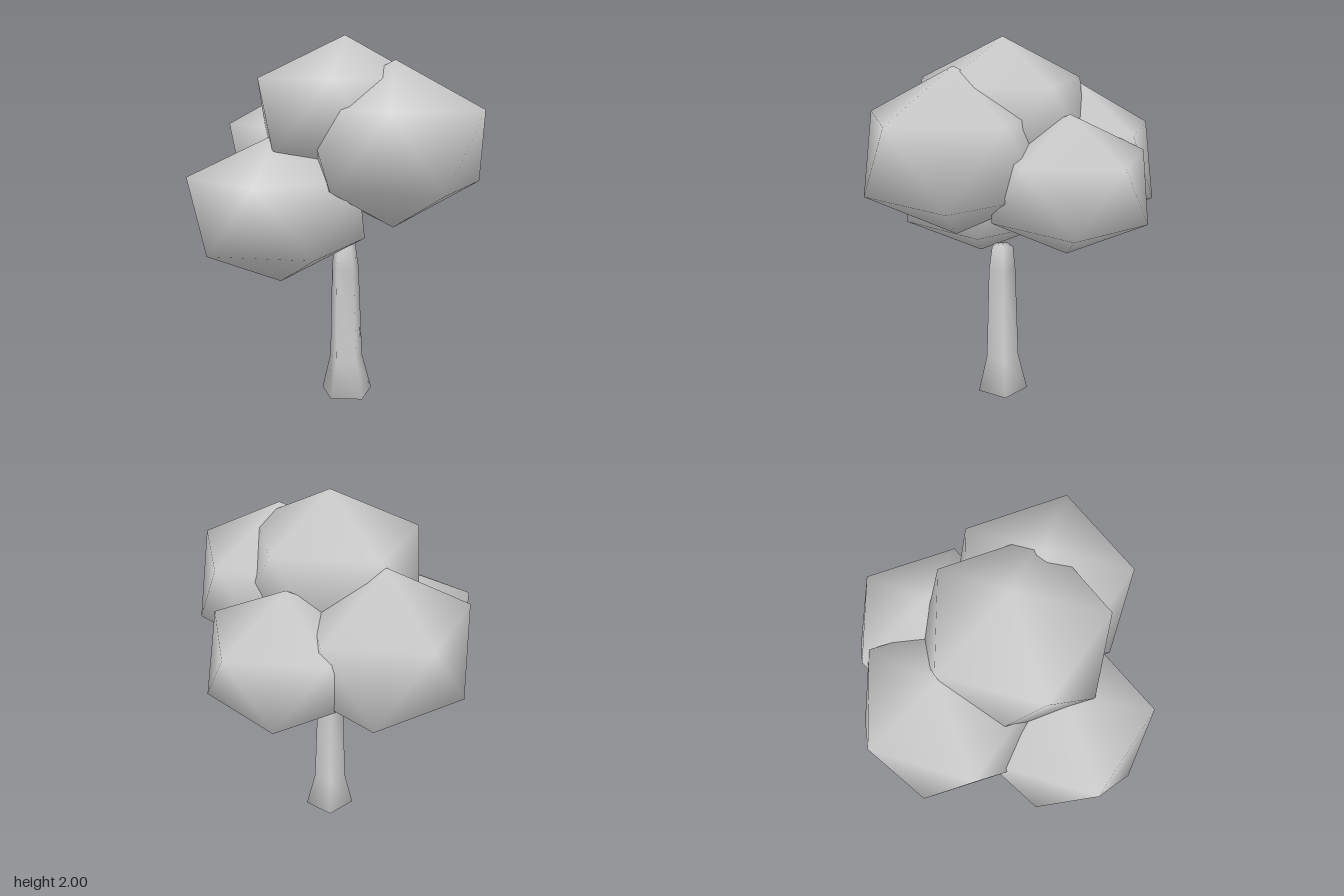
import * as THREE from 'three';

const SIDES = 5;

// Closed five-sided loft from bottom to top with shared vertices for smooth shading.
// Each ring: { x, y, z, rx, rz, turn } ; turn is in degrees.
function loft(bottom, rings, top) {
  const positions = [...bottom];
  for (const { x, y, z, rx, rz, turn } of rings) {
    for (let i = 0; i < SIDES; i++) {
      const a = THREE.MathUtils.degToRad(turn + (360 / SIDES) * i);
      positions.push(x + rx * Math.cos(a), y, z + rz * Math.sin(a));
    }
  }
  positions.push(...top);

  const last = positions.length / 3 - 1;
  const at = (ring, i) => 1 + ring * SIDES + (i % SIDES);
  const index = [];
  for (let i = 0; i < SIDES; i++) {
    index.push(0, at(0, i), at(0, i + 1));
    for (let r = 0; r < rings.length - 1; r++) {
      index.push(at(r, i), at(r + 1, i), at(r + 1, i + 1));
      index.push(at(r, i), at(r + 1, i + 1), at(r, i + 1));
    }
    index.push(last, at(rings.length - 1, i + 1), at(rings.length - 1, i));
  }

  const geometry = new THREE.BufferGeometry();
  geometry.setAttribute('position', new THREE.Float32BufferAttribute(positions, 3));
  geometry.setIndex(index);
  geometry.computeVertexNormals();
  return geometry;
}

// Squashed icosahedron standing on a point; lower ring is turned half a step
function clump({ pole, half, x = pole[0], upper, lower }) {
  const [px, y, z] = pole;
  const lift = half * 0.447;
  return loft(
    [px, y - half, z],
    [
      { x, y: y - lift, z, rx: lower[0], rz: lower[1], turn: 36 },
      { x, y: y + lift, z, rx: upper[0], rz: upper[1], turn: 0 },
    ],
    [px, y + half, z],
  );
}

export function createModel() {
  const group = new THREE.Group();
  const grey = new THREE.MeshStandardMaterial({ color: 0xcccccc });
  grey.name = 'lightGrey';

  const add = (name, geometry) => {
    const mesh = new THREE.Mesh(geometry, grey);
    mesh.name = name;
    group.add(mesh);
  };

  // Trunk: flared foot, slow taper, pinched top
  const trunkRings = [
    [0.017, 0, 0.042, 0.149],
    [0.014, 0.21, 0.04, 0.096],
    [0.008, 0.74, 0.037, 0.078],
    [0.008, 0.87, 0.033, 0.062],
  ].map(([x, y, z, r]) => ({ x, y, z, rx: r, rz: r, turn: -45 }));
  add('trunk', loft([0.017, 0, 0.042], trunkRings, [0.008, 0.876, 0.033]));

  // Foliage clumps
  add('frontFoliage', clump({
    pole: [0.05, 1.44, 0.35], half: 0.43, upper: [0.45, 0.475], lower: [0.455, 0.465],
  }));
  add('backFoliage', clump({
    pole: [0.1, 1.328, -0.41], half: 0.423, upper: [0.44, 0.415], lower: [0.445, 0.42],
  }));
  add('rightFoliage', clump({
    pole: [-0.37, 1.11, -0.07], half: 0.395, upper: [0.48, 0.455], lower: [0.46, 0.445],
  }));
  add('leftFoliage', clump({
    pole: [0.43, 1.285, -0.08], half: 0.36, upper: [0.4, 0.41], lower: [0.41, 0.4],
  }));
  add('topFoliage', clump({
    pole: [0.01, 1.6, 0.03], half: 0.4, x: -0.015, upper: [0.435, 0.455], lower: [0.475, 0.475],
  }));

  return group;
}
